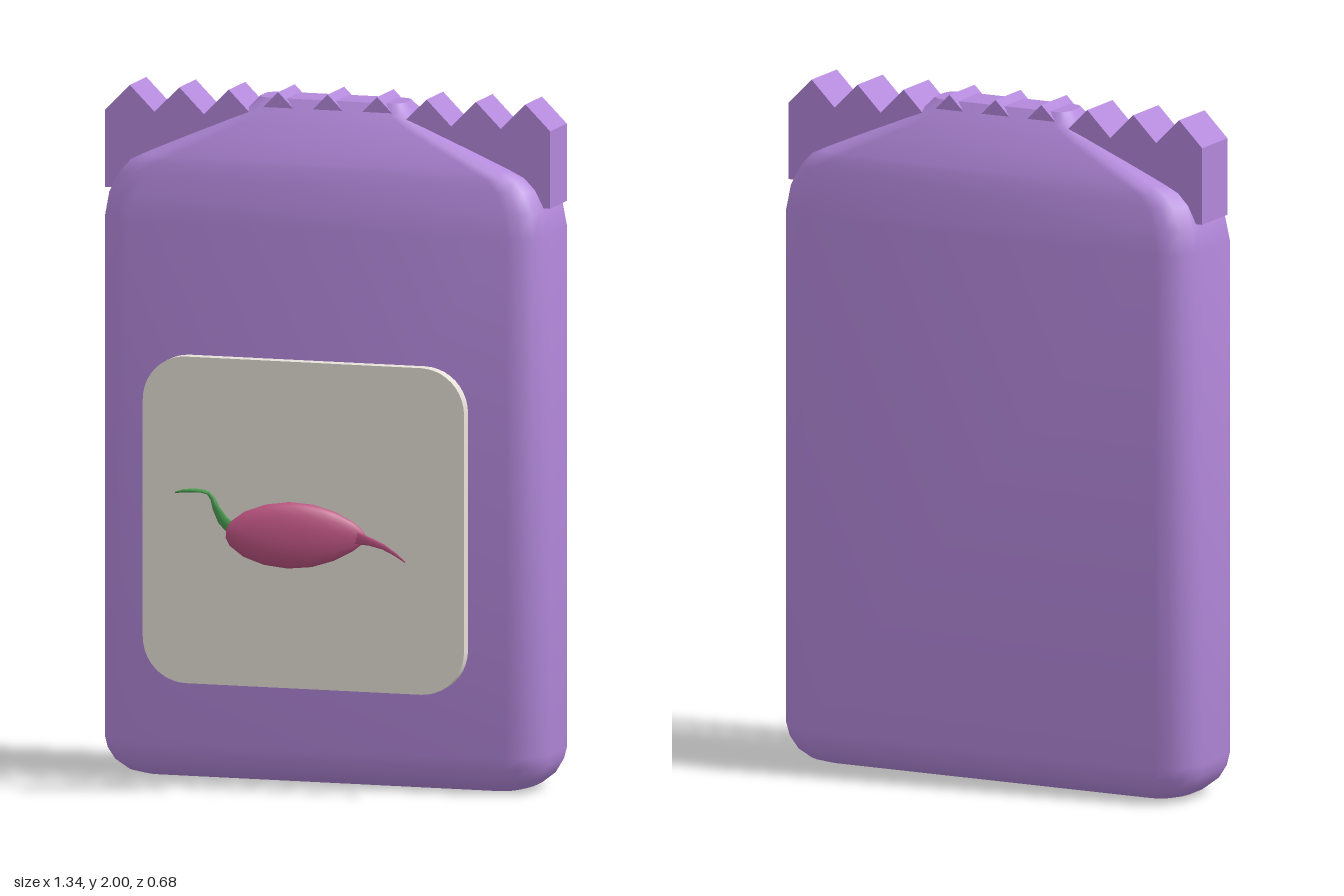
import * as THREE from 'three';
import { toCreasedNormals } from 'three/addons/utils/BufferGeometryUtils.js';

const V = (x, y, z) => new THREE.Vector3(x, y, z);

// Closed skin over a list of rings, each turning counter-clockwise about the way forward
function loft(rings, crease) {
  const n = rings[0].length, pos = [], index = [];
  rings.forEach((ring) => ring.forEach((p) => pos.push(p.x, p.y, p.z)));
  for (let i = 0; i < rings.length - 1; i++) {
    for (let j = 0; j < n; j++) {
      const a = i * n + j, b = i * n + ((j + 1) % n);
      index.push(a, b, b + n, a, b + n, a + n);
    }
  }
  // end caps
  [0, rings.length - 1].forEach((r, last) => {
    const c = V(0, 0, 0);
    rings[r].forEach((p) => c.addScaledVector(p, 1 / n));
    const centre = pos.length / 3;
    pos.push(c.x, c.y, c.z);
    for (let j = 0; j < n; j++) {
      const a = r * n + j, b = r * n + ((j + 1) % n);
      if (last) index.push(centre, a, b);
      else index.push(centre, b, a);
    }
  });
  const geo = new THREE.BufferGeometry();
  geo.setAttribute('position', new THREE.Float32BufferAttribute(pos, 3));
  geo.setIndex(index);
  geo.computeVertexNormals();
  return crease ? toCreasedNormals(geo, crease) : geo;
}

// Horizontal rounded rectangle at height y
function roundedRing(y, hw, hd, r, cz) {
  const ring = [];
  for (let q = 0; q < 4; q++) {
    const sx = q === 0 || q === 3 ? 1 : -1, sz = q < 2 ? -1 : 1;
    for (let k = 0; k <= 4; k++) {
      const a = (q + k / 4) * Math.PI / 2;
      ring.push(V(sx * (hw - r) + Math.cos(a) * r, y, cz + sz * (hd - r) - Math.sin(a) * r));
    }
  }
  return ring;
}

// Tapered limb; each stop is [x, y, z, upright radius, depth radius]
function limb(stops, sides = 10) {
  const pts = stops.map((s) => V(s[0], s[1], s[2]));
  return loft(stops.map((s, i) => {
    const d = pts[Math.min(i + 1, pts.length - 1)].clone().sub(pts[Math.max(i - 1, 0)]).normalize();
    const u = V(0, 0, 1).cross(d).normalize(), v = d.clone().cross(u);
    return Array.from({ length: sides }, (_, j) => {
      const a = j / sides * Math.PI * 2;
      return pts[i].clone().addScaledVector(u, Math.cos(a) * s[3]).addScaledVector(v, Math.sin(a) * s[4]);
    });
  }));
}

export function createModel() {
  const group = new THREE.Group();
  const mat = (color) => new THREE.MeshStandardMaterial({ color });
  const purple = mat(0xb388db), cream = mat(0xe6e1d8), pink = mat(0xb9527f), green = mat(0x4a9c50);
  const add = (name, geo, material) => {
    const mesh = new THREE.Mesh(geo, material);
    mesh.name = name;
    group.add(mesh);
  };

  // Pouch: rounded bottom, straight sides, shoulders drawn in to the seal
  const cz = -0.172;
  const pouch = [ // y, half width, half depth, corner radius
    [0, 0.57, 0.085, 0.06], [0.012, 0.61, 0.12, 0.08], [0.04, 0.645, 0.148, 0.095],
    [0.075, 0.663, 0.166, 0.1], [0.11, 0.67, 0.172, 0.1], [1.62, 0.67, 0.172, 0.1],
    [1.69, 0.66, 0.162, 0.1], [1.75, 0.632, 0.152, 0.1], [1.785, 0.6, 0.146, 0.1],
    [1.805, 0.56, 0.142, 0.1], [1.86, 0.44, 0.124, 0.09], [1.91, 0.33, 0.103, 0.08],
    [1.945, 0.255, 0.085, 0.06], [1.98, 0.22, 0.06, 0.04],
  ];
  add('pouch', loft(pouch.map(([y, hw, hd, r]) => roundedRing(y, hw, hd, r, cz)), 0.75), purple);

  // Zigzag seal along the top
  const seal = new THREE.Shape();
  seal.moveTo(-0.672, 1.7);
  seal.lineTo(0.672, 1.7);
  for (let i = 9; i >= 0; i--) {
    const x = -0.672 + i * 0.1493;
    seal.lineTo(x, 1.925);
    if (i > 0) seal.lineTo(x - 0.0747, 2);
  }
  const sealGeo = new THREE.ExtrudeGeometry(seal, { depth: 0.156, bevelEnabled: false });
  add('topSeal', sealGeo.translate(0, 0, -0.25), purple);

  // Rounded label floating in front of the pouch
  const w = 0.485, b = 0.305, t = 1.255, r = 0.13;
  const label = new THREE.Shape();
  label.absarc(w - r, b + r, r, -Math.PI / 2, 0);
  label.absarc(w - r, t - r, r, 0, Math.PI / 2);
  label.absarc(-w + r, t - r, r, Math.PI / 2, Math.PI);
  label.absarc(-w + r, b + r, r, Math.PI, Math.PI * 1.5);
  const labelGeo = new THREE.ExtrudeGeometry(label, { depth: 0.038, bevelEnabled: false, curveSegments: 5 });
  add('label', toCreasedNormals(labelGeo.translate(0, 0, 0.096), 0.5), cream);

  // Root bulb, flattened and turned in plan
  const bulb = [ // part of length, upright radius, depth radius
    [0, 0.012, 0.008], [0.03, 0.035, 0.019], [0.13, 0.066, 0.029], [0.28, 0.088, 0.034], [0.45, 0.097, 0.036],
    [0.62, 0.091, 0.034], [0.78, 0.071, 0.027], [0.91, 0.043, 0.016], [0.98, 0.02, 0.008], [1, 0.006, 0.003],
  ];
  add('bulb', limb(bulb.map(([s, ru, rv]) => [-0.172 + s * 0.382, 0.777 - s * 0.01, 0.327 - s * 0.122, ru, rv]), 14), pink);

  // Tail of the root
  add('tail', limb([
    [0.2, 0.772, 0.256, 0.018, 0.004], [0.24, 0.762, 0.253, 0.012, 0.004], [0.28, 0.748, 0.25, 0.008, 0.003],
    [0.315, 0.727, 0.246, 0.005, 0.002], [0.342, 0.705, 0.24, 0.002, 0.001],
  ], 8), pink);

  // Stem and leaf
  add('stem', limb([
    [-0.168, 0.785, 0.284, 0.018, 0.006], [-0.195, 0.81, 0.286, 0.016, 0.007], [-0.215, 0.845, 0.287, 0.011, 0.006],
    [-0.225, 0.87, 0.284, 0.008, 0.006], [-0.242, 0.885, 0.276, 0.005, 0.005],
  ], 8), green);
  add('leaf', limb([
    [-0.238, 0.884, 0.277, 0.005, 0.005], [-0.26, 0.889, 0.274, 0.005, 0.013], [-0.29, 0.889, 0.272, 0.006, 0.017],
    [-0.32, 0.886, 0.268, 0.005, 0.012], [-0.345, 0.88, 0.264, 0.002, 0.002],
  ], 8), green);
  return group;
}
